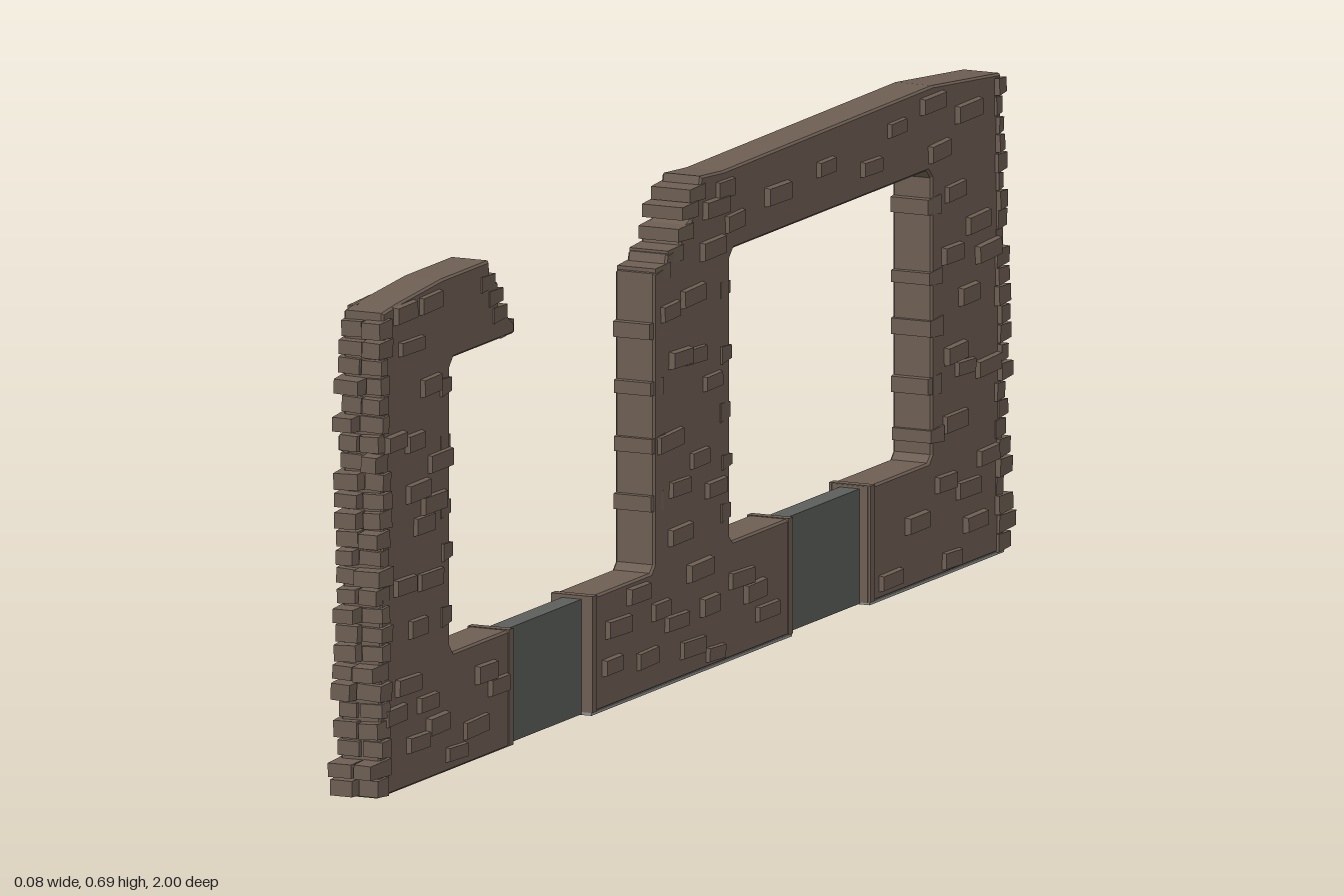
import * as THREE from 'three';

const material = (name, color) => {
  const mat = new THREE.MeshStandardMaterial({ color });
  mat.name = name;
  return mat;
};
const brown = material('brownStone', 0x6d5e53);
const grey = material('greySlab', 0x5b5e5a);
const paleGrey = material('paleGreyUnderside', 0x8a908d);

let seed = 7;
const rnd = () => (seed = (seed * 16807) % 2147483647) / 2147483647;
const vary = (a) => (rnd() - 0.5) * 2 * a;

const HALF = 0.03; // half thickness of the wall

export function createModel() {
  const model = new THREE.Group();
  model.name = 'ruinedWall';

  // Wall outline in (z, y), extruded through x
  function wall(name, points) {
    const shape = new THREE.Shape(points.map(([z, y]) => new THREE.Vector2(z, y)));
    const b = 0.003;
    const geo = new THREE.ExtrudeGeometry(shape, {
      depth: 2 * (HALF - b), bevelEnabled: true, bevelSegments: 1,
      bevelSize: b, bevelThickness: b, bevelOffset: -b,
    });
    geo.translate(0, 0, -(HALF - b));
    geo.rotateY(-Math.PI / 2);
    const mesh = new THREE.Mesh(geo, brown);
    mesh.name = name;
    model.add(mesh);
  }

  function add(parent, name, geo, mat, pos) {
    const mesh = new THREE.Mesh(geo, mat);
    mesh.position.set(...pos);
    mesh.name = name;
    parent.add(mesh);
    return mesh;
  }
  const box = (parent, name, mat, size, pos) =>
    add(parent, name, new THREE.BoxGeometry(...size), mat, pos);

  // Brick whose outer face, along the given axis and side, is worn smaller than its root
  function brick(parent, name, size, pos, axis, side, wear) {
    const geo = new THREE.BoxGeometry(...size);
    const p = geo.attributes.position;
    for (let i = 0; i < p.count; i++) {
      if (p.getComponent(i, axis) * side < 0) continue;
      for (let k = 0; k < 3; k++) {
        const v = p.getComponent(i, k);
        if (k !== axis) p.setComponent(i, k, v - Math.sign(v) * wear);
      }
    }
    geo.computeVertexNormals();
    return add(parent, name, geo, brown, pos);
  }

  // Front pier with the broken stub of its arch
  wall('frontPier', [
    [0.553, 0.002], [0.965, 0.002], [0.955, 0.35], [0.953, 0.675], [0.91, 0.68], [0.77, 0.69],
    [0.625, 0.69], [0.622, 0.662], [0.597, 0.655], [0.595, 0.61], [0.57, 0.605], [0.548, 0.59],
    [0.548, 0.575], [0.735, 0.575], [0.746, 0.563], [0.746, 0.178], [0.735, 0.165], [0.553, 0.165],
  ]);

  // Middle and rear piers joined by the lintel, open between the low walls
  wall('archedWall', [
    [0.31, 0.003], [0.31, 0.165], [0.125, 0.165], [0.115, 0.175], [0.115, 0.58], [0.08, 0.585],
    [0.075, 0.6], [0.035, 0.605], [0.03, 0.625], [0.0, 0.635], [-0.003, 0.665], [-0.025, 0.67],
    [-0.03, 0.69], [-0.1, 0.685], [-0.745, 0.688], [-0.955, 0.668], [-0.955, 0.35], [-0.965, 0.003],
    [-0.548, 0.003], [-0.548, 0.165], [-0.732, 0.165], [-0.742, 0.175], [-0.742, 0.56],
    [-0.73, 0.572], [-0.13, 0.572], [-0.118, 0.56], [-0.118, 0.175], [-0.128, 0.165],
    [-0.31, 0.165], [-0.31, 0.003],
  ]);

  // Thin grey slabs bridging the gaps in the low wall
  for (const z of [0.432, -0.43]) {
    box(model, 'infillSlab', grey, [0.03, 0.16, 0.25], [0, 0.081, z]);
  }
  // Pale undersides
  box(model, 'middleUnderside', paleGrey, [0.06, 0.004, 0.62], [0, 0.002, 0]);
  box(model, 'rearUnderside', paleGrey, [0.06, 0.004, 0.415], [0, 0.002, -0.757]);

  // Raised bricks on both faces, as (z, y) pairs
  const faceBricks = {
    frontPierBricks: [
      0.87, 0.615, 0.81, 0.665, 0.89, 0.665, 0.81, 0.55, 0.86, 0.48, 0.78, 0.44, 0.85, 0.41,
      0.8, 0.385, 0.83, 0.36, 0.92, 0.49, 0.81, 0.28, 0.89, 0.285, 0.85, 0.22, 0.88, 0.145,
      0.82, 0.11, 0.85, 0.06, 0.79, 0.075, 0.92, 0.11, 0.64, 0.12, 0.6, 0.095, 0.67, 0.05, 0.73, 0.025,
    ],
    middlePierBricks: [
      0.23, 0.11, 0.25, 0.06, 0.17, 0.145, 0.1, 0.11, 0.05, 0.085, 0.14, 0.05, -0.02, 0.145,
      -0.05, 0.09, 0, 0.04, -0.07, 0.02, -0.15, 0.11, -0.23, 0.05, -0.19, 0.085, 0.04, 0.27,
      0.07, 0.34, -0.02, 0.3, -0.06, 0.4, 0.04, 0.45, -0.01, 0.445, 0.07, 0.52, 0, 0.53,
      -0.06, 0.585, -0.07, 0.25, 0.04, 0.205,
    ],
    lintelBricks: [
      -0.07, 0.64, -0.13, 0.61, -0.1, 0.66, -0.26, 0.625, -0.41, 0.635, -0.55, 0.61,
      -0.63, 0.65, -0.74, 0.665, -0.76, 0.595, -0.85, 0.635,
    ],
    rearPierBricks: [
      -0.81, 0.53, -0.88, 0.475, -0.91, 0.43, -0.8, 0.445, -0.85, 0.38, -0.81, 0.305, -0.84, 0.28,
      -0.91, 0.27, -0.81, 0.21, -0.91, 0.145, -0.78, 0.13, -0.85, 0.11, -0.69, 0.09, -0.61, 0.025,
      -0.8, 0.02, -0.87, 0.06,
    ],
  };
  for (const [name, list] of Object.entries(faceBricks)) {
    const group = new THREE.Group();
    group.name = name;
    for (const side of [1, -1]) {
      for (let i = 0; i < list.length; i += 2) {
        const stone = brick(group, 'faceBrick',
          [0.016, 0.027 + vary(0.003), 0.065 + vary(0.012)],
          [side * (0.029 + vary(0.0015)), list[i + 1], list[i]], 0, side, 0.003);
        stone.rotation.x = vary(0.04);
      }
    }
    model.add(group);
  }

  // Rough courses of paired bricks on the two outer ends
  for (const end of [1, -1]) {
    const group = new THREE.Group();
    group.name = end > 0 ? 'frontEndBricks' : 'rearEndBricks';
    const rows = 25, h = 0.662 / rows;
    for (let r = 0; r < rows; r++) {
      const split = vary(0.006);
      for (const side of [1, -1]) {
        const outer = side * (0.031 + rnd() * 0.007);
        // The second course reaches the full length of the wall
        const tip = r === 1 ? 0.998 : 0.964 + rnd() * 0.024 - r * 0.0004;
        const len = tip - 0.945 + rnd() * 0.012;
        const stone = brick(group, 'endBrick',
          [Math.abs(outer - split), h * (0.95 + vary(0.08)), len],
          [(outer + split) / 2, 0.003 + (r + 0.5) * h, end * (tip - len / 2)], 2, end, 0.002);
        stone.rotation.z = r ? vary(0.05) : 0;
      }
    }
    model.add(group);
  }

  // Bricks wrapping the upright edges of the openings: [z of edge, outward direction, heights]
  const jambs = [
    [0.746, -1, [0.22, 0.31, 0.37, 0.46, 0.54]],
    [0.115, 1, [0.26, 0.34, 0.42, 0.5]],
    [-0.118, -1, [0.21, 0.28, 0.35, 0.43, 0.52]],
    [-0.742, 1, [0.2, 0.27, 0.35, 0.42, 0.52]],
  ];
  const jambGroup = new THREE.Group();
  jambGroup.name = 'jambBricks';
  for (const [z, dir, heights] of jambs) {
    for (const y of heights) {
      brick(jambGroup, 'jambBrick', [0.064 + vary(0.003), 0.025 + vary(0.004), 0.035],
        [vary(0.001), y, z + dir * (-0.011 + vary(0.003))], 2, dir, 0.003);
    }
  }
  model.add(jambGroup);

  // Loose stepped bricks on the broken ends of the missing lintel
  const broken = new THREE.Group();
  broken.name = 'brokenEdgeBricks';
  const steps = [
    [0.568, 0.586, -1], [0.592, 0.611, -1], [0.604, 0.636, -1], [0.628, 0.66, -1],
    [0.088, 0.577, 1], [0.05, 0.595, 1], [0.02, 0.62, 1], [0.008, 0.648, 1], [-0.018, 0.668, 1],
  ];
  for (const [z, y, dir] of steps) {
    brick(broken, 'brokenBrick', [0.063 + vary(0.003), 0.022, 0.045], [0, y, z], 2, dir, 0.002);
  }
  model.add(broken);

  // Slightly raised stones closing the low walls beside the slabs
  for (const z of [0.561, 0.303, -0.303, -0.556]) {
    box(model, 'lowWallEnd', brown, [0.063, 0.162, 0.014], [0, 0.085, z]);
  }

  return model;
}
